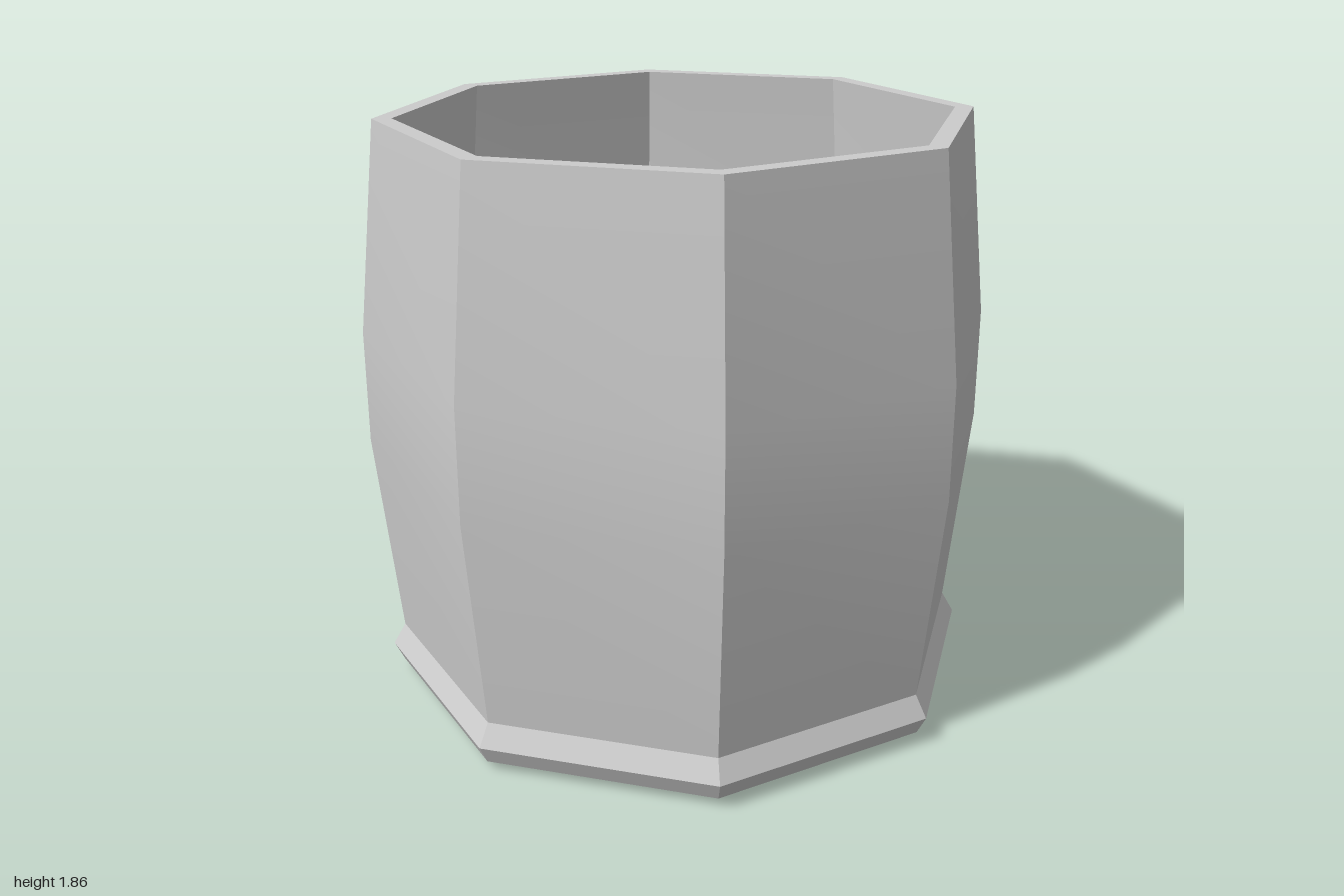
import * as THREE from 'three';
import { toCreasedNormals } from 'three/addons/utils/BufferGeometryUtils.js';

const SIDES = 8;

// Turn a [radius, height] profile into an eight-sided part with sharp corners
function turned(name, profile, material) {
  const points = profile.map(([r, y]) => new THREE.Vector2(r, y));
  const geometry = toCreasedNormals(new THREE.LatheGeometry(points, SIDES), Math.PI / 7);
  const mesh = new THREE.Mesh(geometry, material);
  mesh.name = name;
  return mesh;
}

export function createModel() {
  const group = new THREE.Group();
  group.name = 'barrelPot';
  const material = new THREE.MeshStandardMaterial({ color: 0xcccccc });

  // Bulging staves: up the outside, over the rim, down the inside
  group.add(turned('staves', [
    [0.93, 0.16], [1, 0.83], [1, 1.19], [0.93, 1.86],
    [0.87, 1.86], [0.94, 1.19], [0.94, 0.83], [0.87, 0.16], [0.87, 0.12],
  ], material));

  // Flared foot ring around a shallow recess
  group.add(turned('footRing', [
    [0.87, 0.09], [0.87, 0], [0.94, 0.03], [0.97, 0.09], [0.93, 0.16],
  ], material));

  // Floor: upper face inside the pot, lower face inside the recess
  for (const [name, y, turn] of [['floorTop', 0.12, -1], ['floorUnderside', 0.09, 1]]) {
    const geometry = new THREE.CircleGeometry(0.87, SIDES).rotateX(turn * Math.PI / 2);
    const floor = new THREE.Mesh(geometry, material);
    floor.name = name;
    floor.position.y = y;
    group.add(floor);
  }

  return group;
}
